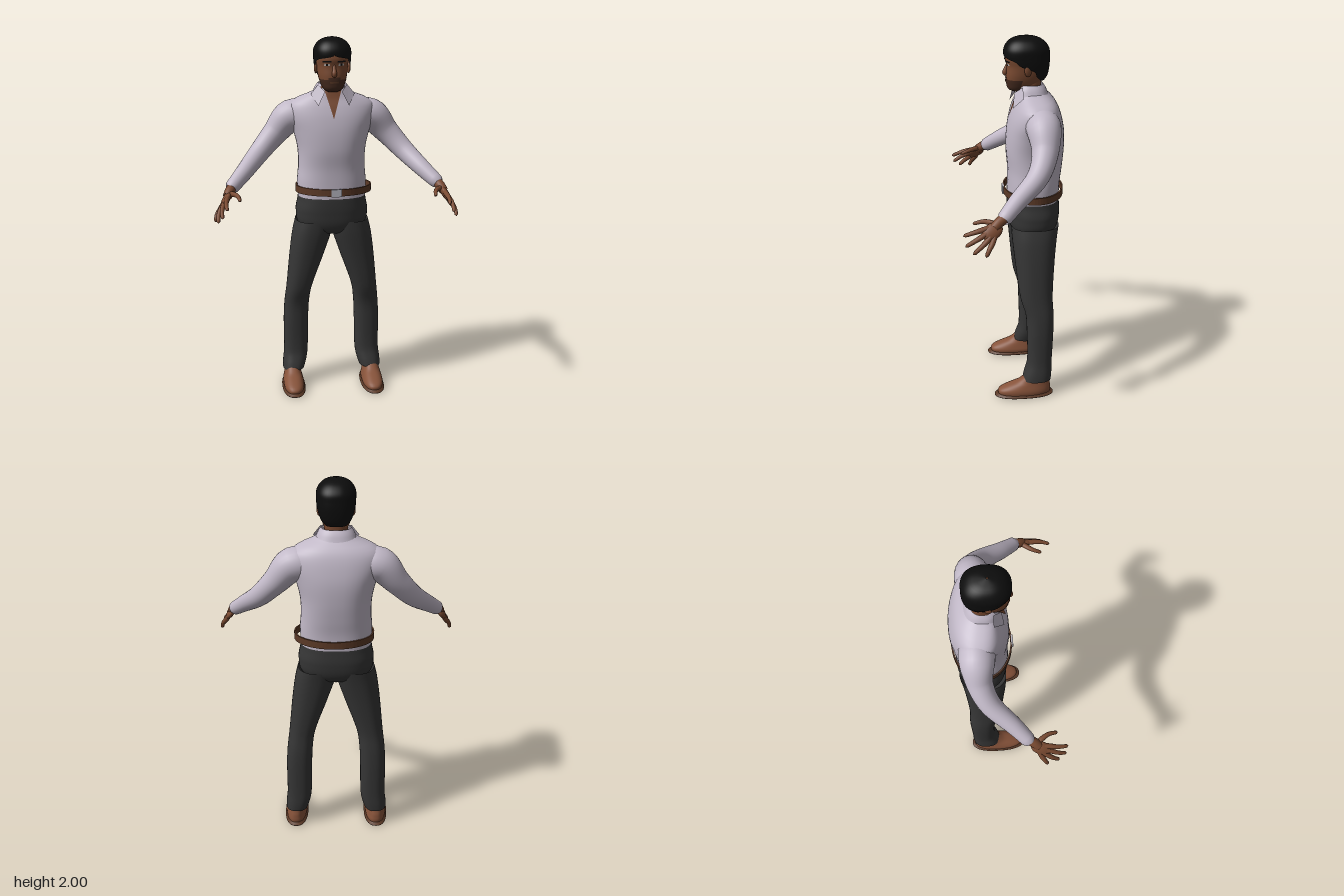
import * as THREE from 'three';
import { mergeVertices } from 'three/addons/utils/BufferGeometryUtils.js';

const colours = {
  skin: 0x7a4a31, stubble: 0x472c20, hair: 0x0d0d0d, eyeWhite: 0xb8b0ac, shirt: 0xc2b9c8,
  trousers: 0x363636, beltLeather: 0x5c3a27, buckleMetal: 0xb4b4be, shoeLeather: 0x87533a,
};
const mats = {};
for (const [name, color] of Object.entries(colours)) {
  mats[name] = new THREE.MeshStandardMaterial({ color, side: THREE.DoubleSide });
  mats[name].name = name;
}

// Smooth interpolation of rows keyed by their first entry
function sample(rows, y) {
  const last = rows.length - 1;
  let k = 0;
  while (k < last - 1 && y > rows[k + 1][0]) k++;
  const a = rows[k], b = rows[k + 1], p = rows[Math.max(k - 1, 0)], q = rows[Math.min(k + 2, last)];
  const h = b[0] - a[0], t = THREE.MathUtils.clamp((y - a[0]) / h, 0, 1);
  return a.map((v, i) => {
    const m0 = (b[i] - p[i]) / (b[0] - p[0]) * h, m1 = (q[i] - v) / (q[0] - a[0]) * h;
    const t2 = t * t, t3 = t2 * t;
    return (2 * t3 - 3 * t2 + 1) * v + (t3 - 2 * t2 + t) * m0 + (3 * t2 - 2 * t3) * b[i] + (t3 - t2) * m1;
  });
}

// Grid of points turned into a smooth surface
function grid(nu, nv, point) {
  const pos = [], idx = [];
  for (let i = 0; i <= nu; i++) for (let j = 0; j <= nv; j++) pos.push(...point(i / nu, j / nv));
  for (let i = 0; i < nu; i++) for (let j = 0; j < nv; j++) {
    const a = i * (nv + 1) + j, b = a + nv + 1;
    idx.push(a, a + 1, b + 1, a, b + 1, b);
  }
  let g = new THREE.BufferGeometry();
  g.setAttribute('position', new THREE.Float32BufferAttribute(pos, 3));
  g.setIndex(idx);
  g = mergeVertices(g, 1e-5);
  g.computeVertexNormals();
  return g;
}

// Rows are [y, inner x, outer x, front z, back z]; the section is a superellipse
const N = 2.4;
const bend = (v) => Math.sign(v) * Math.abs(v) ** (2 / N);
function body(rows, { s = 1, y0 = rows[0][0], y1 = rows.at(-1)[0], range = () => [-Math.PI, Math.PI], off = 0, nu = 36, nv = 48 } = {}) {
  return grid(nu, nv, (u, v) => {
    const y = y0 + (y1 - y0) * u, [, xi, xo, f, b] = sample(rows, y);
    const [a0, a1] = range(y), a = a0 + (a1 - a0) * v;
    const rx = Math.max((xo - xi) / 2, 0.001) + off, rz = Math.max((f - b) / 2, 0.001) + off;
    return [s * (xi + xo) / 2 + rx * bend(Math.sin(a)), y, (f + b) / 2 + rz * bend(Math.cos(a))];
  });
}
const sym = (rows) => rows.map(([y, r, f, b]) => [y, -r, r, f, b]);

// Thin painted patch on the front of a body, bounded by x limits
function patch(rows, y0, y1, limits, off = 0.003) {
  const range = (y) => limits(y).map((x) => {
    const r = sample(rows, y)[2];
    return Math.sign(x) * Math.asin(Math.min(1, Math.abs(x / r) ** (N / 2)));
  });
  return body(rows, { y0, y1, range, off, nu: 10, nv: 10 });
}

// Tapered round limb through [x, y, z, radius] points
function limb(pts, s = 1, nu = 24, nv = 20) {
  const curve = new THREE.CatmullRomCurve3(pts.map(([x, y, z]) => new THREE.Vector3(s * x, y, z)));
  const { normals, binormals } = curve.computeFrenetFrames(nu);
  const radii = pts.map((p, i) => [i / (pts.length - 1), p[3]]);
  return grid(nu, nv, (u, v) => {
    const i = Math.round(u * nu), t = curve.getUtoTmapping(u), a = v * Math.PI * 2;
    const r = Math.max(sample(radii, t)[1], 0.0005);
    return curve.getPoint(t).addScaledVector(normals[i], r * Math.cos(a))
      .addScaledVector(binormals[i], r * Math.sin(a)).toArray();
  });
}

const torso = sym([
  [1.135, .187, .014, -.263], [1.22, .19, .012, -.265], [1.3, .184, .012, -.275], [1.4, .187, .02, -.284],
  [1.5, .21, .015, -.284], [1.58, .235, 0, -.27], [1.64, .23, -.02, -.25], [1.675, .185, -.035, -.228],
  [1.705, .11, -.042, -.195], [1.73, .075, -.048, -.17]]);
const pelvis = sym([
  [.915, .03, -.09, -.15], [.93, .1, -.03, -.21], [.97, .18, .0, -.25], [1.05, .2, .012, -.267],
  [1.12, .189, .014, -.264], [1.17, .184, .01, -.258]]);
const leg = [
  [.1, .163, .286, -.05, -.21], [.14, .15, .284, -.06, -.214], [.2, .14, .277, -.078, -.215],
  [.4, .135, .276, -.075, -.222], [.5, .13, .27, -.068, -.222], [.6, .115, .258, -.04, -.217],
  [.8, .045, .238, -.015, -.23], [.93, .002, .22, -.002, -.244], [1.0, -.01, .203, 0, -.255]];
const shoe = [
  [.018, .172, .286, .088, -.205], [.035, .17, .288, .09, -.208], [.05, .174, .286, .075, -.207],
  [.07, .18, .28, .03, -.205], [.09, .185, .275, -.02, -.2], [.13, .188, .27, -.07, -.195]];
const sole = [
  [0, .225, .23, -.06, -.07], [.002, .172, .286, .085, -.203], [.018, .168, .29, .095, -.21], [.022, .18, .28, .08, -.2]];
const head = sym([
  [1.712, .025, -.03, -.1], [1.725, .046, .004, -.12], [1.76, .065, .016, -.155], [1.8, .077, .019, -.18],
  [1.85, .083, .016, -.19], [1.89, .086, .024, -.19], [1.94, .08, .01, -.185], [1.98, .045, -.03, -.14], [1.988, .01, -.07, -.1]]);
const hair = sym([
  [1.775, .066, 0, -.18], [1.8, .08, .01, -.195], [1.85, .095, .022, -.204], [1.9, .1, .032, -.205],
  [1.94, .097, .028, -.2], [1.975, .073, .002, -.17], [1.993, .04, -.035, -.13], [2.0, .003, -.075, -.085]]);
const neck = sym([[1.64, .066, -.04, -.165], [1.7, .06, -.045, -.16], [1.78, .06, -.045, -.165]]);
const collar = sym([[1.67, .125, -.025, -.215], [1.7, .106, -.024, -.2], [1.735, .09, -.03, -.185], [1.755, .075, -.045, -.17]]);
const hairEdge = [[1.775, 2.3], [1.8, 1.9], [1.83, 1.75], [1.86, 1.25], [1.885, .95], [1.905, .02], [2, 0]];

const sleeve = [[.13, 1.57, -.145, .085], [.22, 1.57, -.15, .09], [.31, 1.478, -.145, .068],
  [.395, 1.385, -.1, .056], [.49, 1.292, .015, .045], [.556, 1.232, .088, .036], [.56, 1.229, .092, .028]];
// Knuckle, middle joint and tip of each finger
const fingers = {
  indexFinger: [[.578, 1.195, .185], [.582, 1.182, .235], [.576, 1.165, .283]],
  middleFinger: [[.592, 1.175, .18], [.604, 1.148, .23], [.601, 1.12, .275]],
  ringFinger: [[.604, 1.155, .165], [.622, 1.12, .205], [.624, 1.088, .24]],
  littleFinger: [[.61, 1.142, .145], [.632, 1.11, .165], [.64, 1.078, .18]],
  thumb: [[.548, 1.215, .145], [.522, 1.213, .185], [.51, 1.198, .232]],
};

export function createModel() {
  const model = new THREE.Group();
  model.name = 'standingMan';
  const add = (name, geometry, mat, parent = model) => {
    const m = new THREE.Mesh(geometry, mats[mat]);
    m.name = name;
    parent.add(m);
    return m;
  };

  // Clothing on the trunk
  add('shirtBody', body(torso), 'shirt');
  add('openNeckline', patch(torso, 1.575, 1.728, (y) => [-(y - 1.573) * .3, (y - 1.573) * .3]), 'skin');
  add('collarBand', body(collar, { range: () => [.75, Math.PI * 2 - .75], nu: 8 }), 'shirt');
  add('trouserSeat', body(pelvis), 'trousers');

  // Belt ring and buckle
  const ring = new THREE.Shape().absellipse(.01, 0, .211, .161, 0, Math.PI * 2);
  ring.holes.push(new THREE.Path().absellipse(.01, 0, .203, .153, 0, Math.PI * 2));
  const beltGeo = new THREE.ExtrudeGeometry(ring, { depth: .038, bevelEnabled: false, curveSegments: 32 });
  beltGeo.rotateX(-Math.PI / 2).translate(0, 1.157, -.124);
  add('belt', beltGeo, 'beltLeather');
  add('buckle', new THREE.BoxGeometry(.055, .042, .01).translate(.01, 1.176, .038), 'buckleMetal');

  // Head, neck and hair
  add('neck', body(neck, { nu: 8 }), 'skin');
  add('head', body(head), 'skin');
  add('hair', body(hair, { range: (y) => { const e = Math.max(0, sample(hairEdge, y)[1]); return [e, Math.PI * 2 - e]; } }), 'hair');
  add('beard', body(head, { y0: 1.713, y1: 1.782, range: () => [-1.45, 1.45], off: .002, nu: 12 }), 'stubble');
  add('moustache', patch(head, 1.78, 1.794, () => [-.03, .03]), 'stubble');
  add('lips', patch(head, 1.763, 1.773, () => [-.022, .022], .005), 'beltLeather');
  add('nose', limb([[0, 1.866, .006, .007], [0, 1.835, .018, .01], [0, 1.812, .024, .014], [0, 1.8, .018, .009], [0, 1.797, .014, 0]]), 'skin');

  for (const s of [1, -1]) {
    const side = new THREE.Group();
    side.name = s > 0 ? 'leftSide' : 'rightSide';
    model.add(side);
    const span = (a, b) => () => (s > 0 ? [a, b] : [-b, -a]);

    // Eye, brow and ear
    add('eye', patch(head, 1.855, 1.866, span(.022, .05)), 'eyeWhite', side);
    add('iris', patch(head, 1.855, 1.866, span(.031, .041), .005), 'hair', side);
    add('eyebrow', patch(head, 1.873, 1.881, span(.016, .058), .004), 'hair', side);
    const ear = add('ear', new THREE.SphereGeometry(1, 16, 12), 'skin', side);
    ear.scale.set(.01, .032, .02);
    ear.position.set(s * .087, 1.838, -.085);
    ear.rotation.y = s * .3;

    // Folded collar flap
    const [a, b, c, d] = [[.078, 1.75, -.06], [.045, 1.715, -.02], [.082, 1.642, -.008], [.118, 1.7, -.06]]
      .map(([x, y, z]) => new THREE.Vector3(s * x, y, z));
    const flap = s > 0 ? [a, b, c, a, c, d] : [a, c, b, a, d, c];
    const flapGeo = new THREE.BufferGeometry().setFromPoints(flap);
    flapGeo.computeVertexNormals();
    add('collarFlap', flapGeo, 'shirt', side);

    // Sleeve and hand
    add('sleeve', limb(sleeve, s, 36, 28), 'shirt', side);
    add('wrist', limb([[.545, 1.242, .075, .026], [.562, 1.222, .11, .026], [.575, 1.2, .135, .024]], s, 8), 'skin', side);
    const palm = add('palm', new THREE.SphereGeometry(1, 20, 14), 'skin', side);
    const across = new THREE.Vector3(s * .032, -.053, -.04).normalize();
    const along = new THREE.Vector3(s * .035, -.055, .085);
    along.addScaledVector(across, -along.dot(across)).normalize();
    palm.quaternion.setFromRotationMatrix(new THREE.Matrix4().makeBasis(across, along, across.clone().cross(along)));
    palm.scale.set(.04, .055, .019);
    palm.position.set(s * .583, 1.185, .145);
    for (const [name, [k, m, t]] of Object.entries(fingers)) {
      const end = t.map((v, i) => v + (t[i] - m[i]) * .06);
      add(name, limb([[.568, 1.21, .12, .012], [...k, .014], [...m, .0115], [...t, .008], [...end, 0]], s, 18, 10), 'skin', side);
    }

    // Trouser leg and shoe
    add('trouserLeg', body(leg, { s }), 'trousers', side);
    add('shoeUpper', body(shoe, { s, nu: 16 }), 'shoeLeather', side);
    add('shoeSole', body(sole, { s, nu: 22 }), 'beltLeather', side);
  }
  return model;
}
